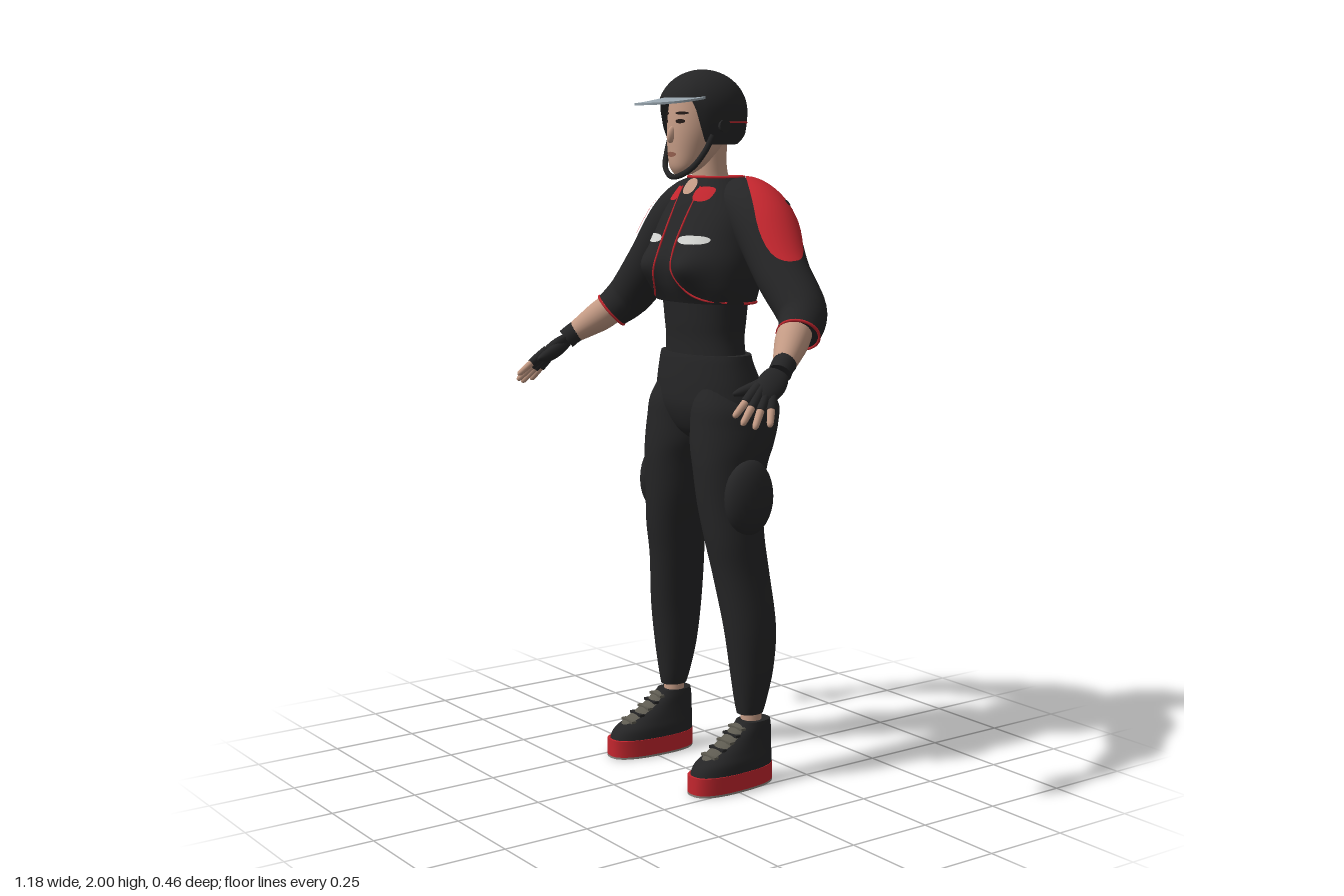
import * as THREE from 'three';

const mat = (name, color, side = THREE.FrontSide) => {
  const m = new THREE.MeshStandardMaterial({ color, side });
  m.name = name;
  return m;
};
const V = (x, y, z) => new THREE.Vector3(x, y, z);
const spow = (c, e) => Math.sign(c) * Math.abs(c) ** e;

// Catmull-Rom interpolation of every column of a small table
function sample(t, u) {
  const k = THREE.MathUtils.clamp(u, 0, 1) * (t.length - 1);
  const i = Math.min(Math.floor(k), t.length - 2), f = k - i;
  const row = (j) => t[THREE.MathUtils.clamp(j, 0, t.length - 1)];
  const [a, b, c, d] = [row(i - 1), row(i), row(i + 1), row(i + 2)];
  return b.map((_, q) => b[q] + 0.5 * f * (c[q] - a[q] + f * (2 * a[q] - 5 * b[q] + 4 * c[q] - d[q]
    + f * (3 * (b[q] - c[q]) + d[q] - a[q]))));
}

// Closed tube-like surface from fn(u, angle), with optional flat end caps
function skinOf(fn, nu, nv, caps = true) {
  const rows = [], pos = [], idx = [];
  for (let i = 0; i <= nu; i++) {
    rows.push(Array.from({ length: nv }, (_, j) => fn(i / nu, (j / nv) * Math.PI * 2)));
  }
  if (caps) {
    const centre = (r) => {
      const c = r.reduce((s, p) => s.add(p), V(0, 0, 0)).divideScalar(nv);
      return r.map(() => c);
    };
    const a = rows[0], b = rows[nu];
    rows.unshift(centre(a), a);
    rows.push(b, centre(b));
  }
  rows.flat().forEach((p) => pos.push(p.x, p.y, p.z));
  for (let i = 0; i < rows.length - 1; i++) {
    for (let j = 0; j < nv; j++) {
      const a = i * nv + j, b = a + nv, c = i * nv + (j + 1) % nv, d = c + nv;
      idx.push(a, b, c, c, b, d);
    }
  }
  const g = new THREE.BufferGeometry();
  g.setAttribute('position', new THREE.Float32BufferAttribute(pos, 3));
  g.setIndex(idx);
  g.computeVertexNormals();
  return g;
}

// Upright form; table rows are [y, centre x, half width, front z, back z], rising
function body(table, n = 2.2, bump = () => 0) {
  const at = (u, v) => {
    const [y, cx, rx, zf, zb] = sample(table, u), s = Math.sin(v);
    const x = cx + rx * spow(Math.cos(v), 2 / n);
    return V(x, y, (zf + zb) / 2 + (zf - zb) / 2 * spow(s, 2 / n) + bump(x, y, s));
  };
  const surface = (x, y, sign = 1) => {
    let lo = 0, hi = 1;
    for (let i = 0; i < 24; i++) {
      const m = (lo + hi) / 2;
      if (sample(table, m)[0] < y) lo = m; else hi = m;
    }
    const [, cx, rx, zf, zb] = sample(table, lo);
    const k = Math.max(0, 1 - Math.abs((x - cx) / rx) ** n) ** (1 / n);
    return (zf + zb) / 2 + sign * (zf - zb) / 2 * k + bump(x, y, sign);
  };
  // Thin rounded patch lying on the front (sign 1) or back (sign -1)
  const patch = (cx, cy, hw, hh, sign = 1, e = 1, off = 0.004) => skinOf((r, a) => {
    const x = cx + hw * r * spow(Math.cos(a), e), y = cy + sign * hh * r * spow(Math.sin(a), e);
    return V(x, y, surface(x, y, sign) + sign * off);
  }, 6, 32, false);
  return { at, surface, patch, geo: (nu = 32, nv = 40) => skinOf(at, nu, nv) };
}

// Limb along a path; table rows are [x, y, z, radius]
function limb(table) {
  const at = (u, v, off = 0) => {
    const [x, y, z, r] = sample(table, u);
    const t = V(...sample(table, u + 0.01)).sub(V(...sample(table, u - 0.01))).normalize();
    const n = V(0, 1, 0).addScaledVector(t, -t.y).normalize();
    const b = n.clone().cross(t);
    return V(x, y, z).addScaledVector(n, Math.cos(v) * (r + off)).addScaledVector(b, Math.sin(v) * (r + off));
  };
  // Rounded patch; skew turns it around the limb along its length
  const patch = (uc, hu, vc, hv, off = 0.005, skew = 0) => skinOf((r, a) => {
    const k = r * spow(Math.cos(a), 0.85);
    return at(uc + hu * k, vc + skew * k + hv * r * spow(Math.sin(a), 0.85), off);
  }, 12, 40, false);
  return { at, patch, geo: (nu = 28, nv = 24) => skinOf(at, nu, nv) };
}

const tube = (pts, r, closed = false) =>
  new THREE.TubeGeometry(new THREE.CatmullRomCurve3(pts, closed), 48, r, 6, closed);

export function createModel() {
  const group = new THREE.Group();
  const black = mat('black cloth', 0x252526, THREE.DoubleSide);
  const red = mat('red', 0xc4262e), skin = mat('skin', 0xc39a84);
  const visorGrey = mat('visor grey', 0x98a5ae, THREE.DoubleSide);
  const white = mat('reflective white', 0xd2d3d0), lace = mat('lace grey', 0x5d5a50);
  const soleGrey = mat('sole grey', 0x8c8680), lip = mat('lip', 0x95604f), dark = mat('eye dark', 0x241a17);

  const add = (name, geo, m) => {
    const mesh = new THREE.Mesh(geo, m);
    mesh.name = name;
    group.add(mesh);
  };
  // Adds a left part and its mirrored right twin
  const both = (name, geo, m) => {
    add('left ' + name, geo, m);
    const g = geo.clone().scale(-1, 1, 1);
    const order = Array.from(g.index ? g.index.array : g.attributes.position.array.keys()).slice(0, g.index ? undefined : g.attributes.position.count);
    for (let i = 0; i < order.length; i += 3) [order[i], order[i + 1]] = [order[i + 1], order[i]];
    g.setIndex(order);
    add('right ' + name, g, m);
  };

  // Shirt and jacket
  add('shirt', body([[1.17, 0, .15, .02, -.16], [1.25, 0, .138, .02, -.155], [1.31, 0, .142, .025, -.16], [1.4, 0, .155, .03, -.165]]).geo(), black);
  const jacket = body([[1.36, 0, .175, .035, -.175], [1.41, 0, .186, .06, -.19], [1.47, 0, .19, .07, -.205], [1.53, 0, .182, .055, -.215],
    [1.6, 0, .165, .025, -.215], [1.66, 0, .125, -.005, -.2], [1.705, 0, .085, -.035, -.175]], 2.3, (x, y, s) => (s > 0
    ? .03 * Math.exp(-(((Math.abs(x) - .09) / .05) ** 2) - ((y - 1.46) / .05) ** 2)
    : .015 * Math.exp(-((x / .03) ** 2) - ((y - 1.56) / .08) ** 2)));
  add('jacket', jacket.geo(48, 64), black);
  both('collar tab', jacket.patch(.064, 1.66, .03, .02, 1, .7), red);
  both('chest stripe', jacket.patch(.09, 1.536, .05, .012, 1, .8, .003), white);
  add('back stripe', jacket.patch(0, 1.57, .09, .018, -1, 1.1), white);
  both('front piping', tube([[.042, 1.68], [.036, 1.58], [.035, 1.5], [.043, 1.45], [.075, 1.395], [.115, 1.372], [.165, 1.365]]
    .map(([x, y]) => V(x, y, jacket.surface(x, y) + .001)), .003), red);
  add('back hem piping', tube(Array.from({ length: 17 }, (_, i) => jacket.at(.01, Math.PI * (1 + i / 16))), .004), red);
  add('collar piping', tube(Array.from({ length: 24 }, (_, i) => jacket.at(1, i / 12 * Math.PI)), .004, true), red);
  add('neckline skin', jacket.patch(0, 1.68, .027, .022, 1, .9, .003), skin);

  // Sleeves with shoulder panels
  const sleeve = limb([[.05, 1.635, -.115, .065], [.13, 1.622, -.12, .08], [.21, 1.565, -.118, .086], [.31, 1.45, -.1, .075],
    [.405, 1.355, -.09, .068], [.447, 1.3, -.045, .056]]);
  both('sleeve', sleeve.geo(40, 32), black);
  both('shoulder panel', sleeve.patch(.38, .25, .12, .85, .005, -.25), red);
  both('shoulder button', sleeve.patch(.37, .016, .5, .11, .008), black);
  both('underarm panel', sleeve.patch(.55, .08, Math.PI, .35), red);
  both('cuff piping', tube(Array.from({ length: 20 }, (_, i) => sleeve.at(1, i / 10 * Math.PI)), .004, true), red);

  // Forearms, gloves and fingers
  both('forearm', limb([[.42, 1.335, -.07, .044], [.455, 1.29, -.02, .046], [.485, 1.257, .02, .038], [.515, 1.225, .06, .027]]).geo(), skin);
  both('glove cuff', limb([[.503, 1.239, .042, .032], [.509, 1.229, .056, .031], [.518, 1.214, .072, .031]]).geo(8, 20), black);
  const wrist = V(.51, 1.222, .06), knuckle = V(.539, 1.156, .145);
  const along = knuckle.clone().sub(wrist).normalize();
  const across = V(-.35, .2, .6).addScaledVector(along, -V(-.35, .2, .6).dot(along)).normalize();
  const palm = new THREE.SphereGeometry(1, 20, 14).scale(.038, .064, .021);
  palm.applyMatrix4(new THREE.Matrix4().makeBasis(across, along, across.clone().cross(along)));
  palm.translate(...wrist.clone().lerp(knuckle, .52).toArray());
  both('palm', palm, black);
  const fingers = [[[.522, 1.168, .165], [.535, 1.115, .232]], [[.533, 1.16, .157], [.556, 1.096, .222]],
    [[.543, 1.153, .142], [.574, 1.086, .196]], [[.55, 1.152, .122], [.587, 1.09, .157]]];
  fingers.forEach(([a, b], i) => {
    const p = (f, r) => [...V(...a).lerp(V(...b), f).toArray(), r];
    both('finger glove ' + (i + 1), limb([p(-.35, .013), p(.1, .0135), p(.38, .0125)]).geo(6, 12), black);
    both('finger ' + (i + 1), limb([p(.3, .0105), p(.7, .0095), p(.92, .008), p(1, .003)]).geo(10, 12), skin);
  });
  both('thumb', limb([[.512, 1.2, .09, .018], [.498, 1.182, .135, .016], [.486, 1.17, .172, .012], [.481, 1.164, .195, .004]]).geo(12, 12), black);

  // Trousers
  add('hips', body([[.965, 0, .04, -.03, -.11], [1.0, 0, .12, .008, -.15], [1.06, 0, .19, .032, -.2], [1.12, 0, .19, .034, -.197],
    [1.19, 0, .172, .028, -.17], [1.215, 0, .165, .024, -.165]]).geo(), black);
  both('leg', body([[.2, .188, .033, -.052, -.128], [.24, .187, .042, -.045, -.14], [.33, .186, .056, -.033, -.16], [.45, .18, .066, -.018, -.17],
    [.6, .156, .071, .002, -.162], [.7, .144, .077, .02, -.152], [.8, .128, .084, .032, -.156], [.9, .119, .092, .04, -.175],
    [.96, .111, .104, .04, -.2], [1.02, .106, .104, .037, -.222], [1.08, .1, .098, .032, -.226], [1.15, .085, .06, .01, -.165]]).geo(56, 36), black);
  both('thigh pad', new THREE.SphereGeometry(1, 24, 16).scale(.046, .108, .079).translate(.207, .825, -.068), black);

  // Ankles and shoes
  both('ankle', new THREE.CylinderGeometry(.029, .031, .1, 20).translate(.19, .175, -.093), skin);
  const place = (g) => g.rotateY(.05).translate(.2, 0, 0);
  const slab = (y0, y1) => body([[y0, 0, .062, .127, -.152], [y1, 0, .062, .127, -.152]], 2.5).geo(2, 40);
  both('shoe tread', place(slab(0, .006)), soleGrey);
  both('shoe sole', place(slab(.006, .055)), red);
  const shoe = body([[.05, 0, .061, .121, -.152], [.08, 0, .058, .105, -.152], [.105, 0, .051, .062, -.152], [.135, 0, .044, .01, -.152],
    [.165, 0, .04, -.03, -.15], [.182, 0, .037, -.045, -.147]], 2.4);
  both('shoe upper', place(shoe.geo(24, 36)), black);
  both('shoe tongue', place(shoe.patch(0, .137, .029, .042, 1, .7)), lace);
  for (let i = 0; i < 5; i++) {
    const y = .103 + i * .016;
    both('shoe lace ' + (i + 1), place(new THREE.BoxGeometry(.06, .007, .016).translate(0, y, shoe.surface(.018, y))), i % 2 ? black : lace);
  }

  // Neck, head and face
  add('neck', body([[1.6, 0, .075, -.03, -.15], [1.68, 0, .056, -.035, -.14], [1.74, 0, .05, -.035, -.127], [1.83, 0, .052, -.03, -.13]]).geo(), skin);
  const head = body([[1.712, 0, .024, .03, -.01], [1.735, 0, .046, .043, -.05], [1.78, 0, .065, .046, -.1], [1.83, 0, .077, .046, -.13],
    [1.88, 0, .08, .042, -.15], [1.93, 0, .075, .035, -.15]]);
  add('head', head.geo(), skin);
  add('nose', new THREE.SphereGeometry(1, 14, 12).scale(.01, .024, .014).rotateX(-.25).translate(0, 1.822, .048), skin);
  add('lips', head.patch(0, 1.768, .02, .007), lip);
  both('eye', head.patch(.032, 1.858, .014, .006), dark);
  both('eyebrow', head.patch(.034, 1.88, .019, .004), dark);

  // Helmet shell, open at the face
  add('helmet', skinOf((u, v) => {
    const f = Math.sin(v);
    const low = 1.795 + .117 * THREE.MathUtils.smoothstep(f, .42, .72) + .03 * THREE.MathUtils.smoothstep(-f, .4, .9);
    const y = low + (2 - low) * Math.sin(u * Math.PI / 2);
    const k = (y - 1.885) / .115;
    const r = k > 0 ? Math.sqrt(Math.max(0, 1 - k * k)) : 1 - .18 * k * k;
    return V(.11 * r * Math.cos(v), y, -.058 + .132 * r * f);
  }, 28, 64, false), black);
  add('helmet back trim', tube(Array.from({ length: 17 }, (_, i) => {
    const a = Math.PI * (1 + i / 16);
    return V(.109 * Math.cos(a), 1.855, -.058 + .131 * Math.sin(a));
  }), .0022), red);
  const brim = new THREE.Shape();
  brim.moveTo(-.094, .0);
  brim.bezierCurveTo(-.092, .09, -.055, .155, 0, .157);
  brim.bezierCurveTo(.055, .155, .092, .09, .094, .0);
  brim.quadraticCurveTo(0, .09, -.094, .0);
  const visor = new THREE.ExtrudeGeometry(brim, { depth: .006, bevelEnabled: false, curveSegments: 20 }).rotateX(Math.PI / 2);
  const vp = visor.attributes.position;
  for (let i = 0; i < vp.count; i++) vp.setY(i, vp.getY(i) + 1.934 - .18 * vp.getZ(i) - 1.2 * vp.getX(i) ** 2);
  visor.computeVertexNormals();
  add('visor', visor, visorGrey);
  both('helmet clasp', new THREE.CylinderGeometry(.016, .018, .014, 16).rotateZ(Math.PI / 2).translate(.11, 1.845, -.05), black);
  add('chin strap', tube([[.1, 1.82, -.02], [.09, 1.775, .0], [.062, 1.73, .025], [0, 1.706, .04],
    [-.062, 1.73, .025], [-.09, 1.775, .0], [-.1, 1.82, -.02]].map((p) => V(...p)), .008), black);

  return group;
}
